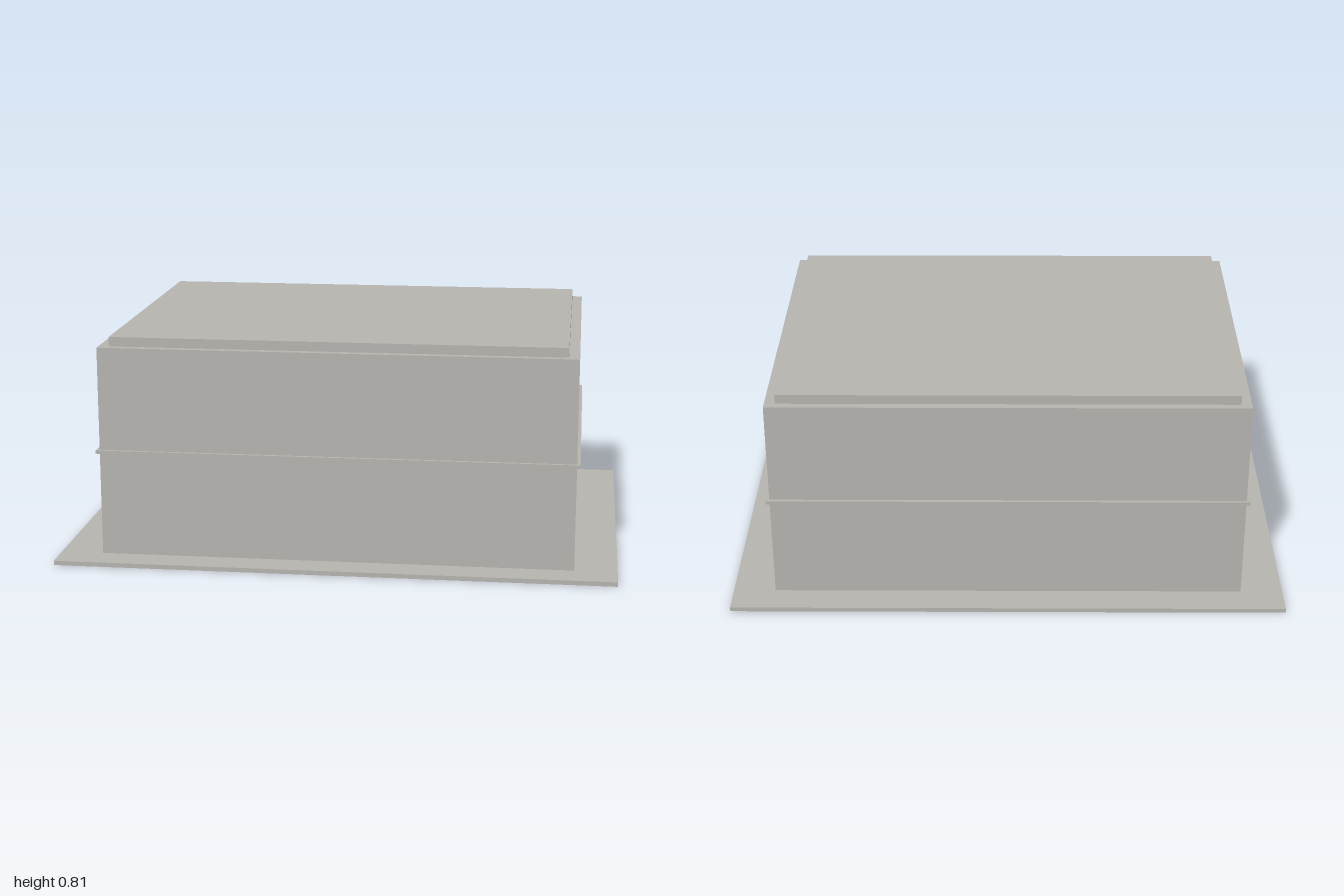
import * as THREE from 'three';

export function createModel() {
  const model = new THREE.Group();
  const concrete = new THREE.MeshStandardMaterial({ color: 0xb5b3ae });
  concrete.name = 'warm grey';

  // A block resting between two heights, centred on the vertical axis
  function block(name, width, depth, bottom, top) {
    const mesh = new THREE.Mesh(new THREE.BoxGeometry(width, top - bottom, depth), concrete);
    mesh.name = name;
    mesh.position.y = (bottom + top) / 2;
    model.add(mesh);
  }

  block('groundSlab', 2, 1.48, 0, 0.016);
  block('buildingBody', 1.696, 1.256, 0.016, 0.774);
  // Thin ledge running around the walls at mid height
  block('floorBand', 1.72, 1.28, 0.39, 0.402);
  block('roofBlock', 1.62, 1.2, 0.774, 0.808);

  return model;
}
